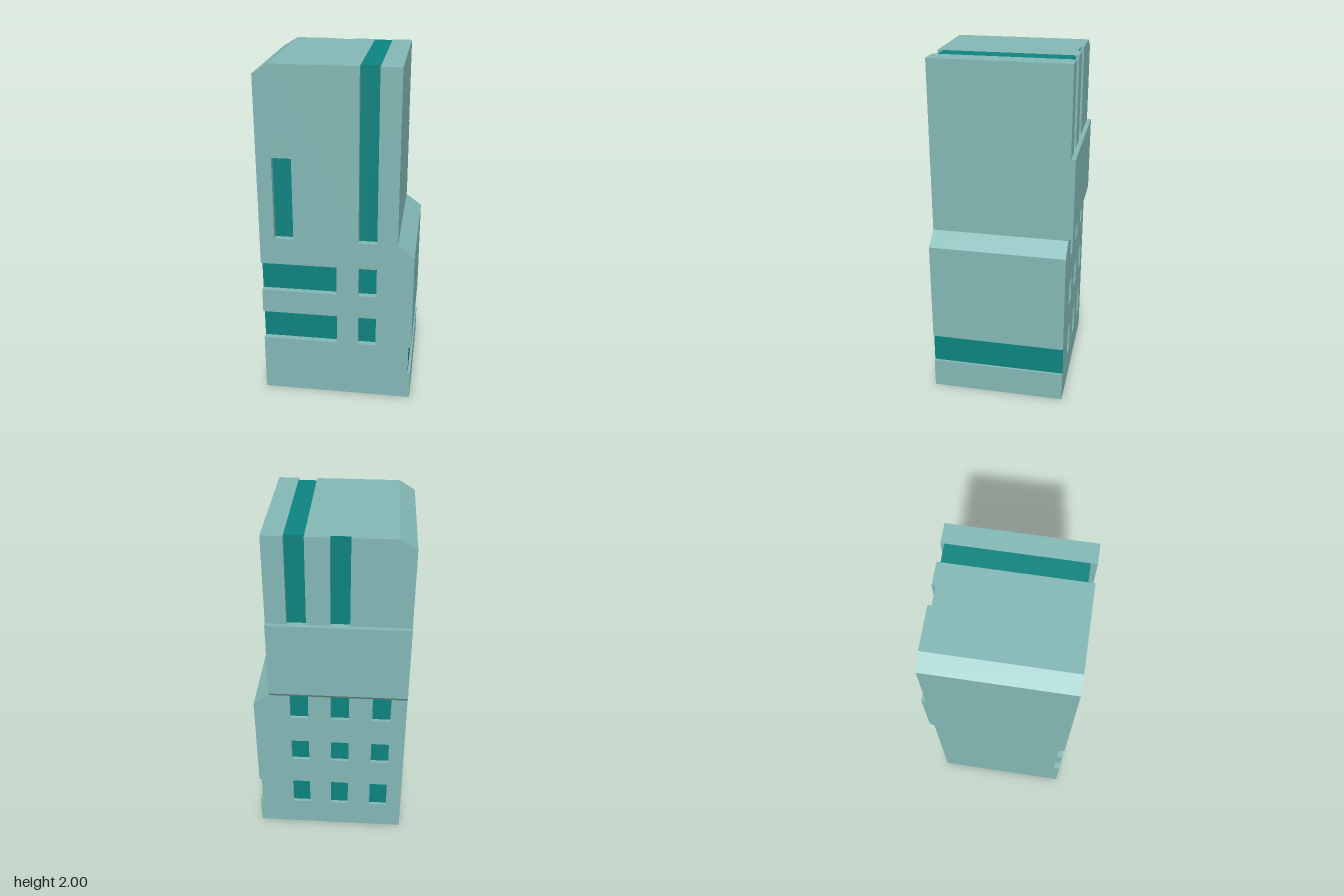
import * as THREE from 'three';
import { mergeGeometries } from 'three/addons/utils/BufferGeometryUtils.js';

const wall = new THREE.MeshStandardMaterial({ color: 0x82b7b4, side: THREE.DoubleSide });
wall.name = 'pale teal wall';
const glass = new THREE.MeshStandardMaterial({ color: 0x0d827e, side: THREE.DoubleSide });
glass.name = 'deep teal glass';

const FRONT = 0.405, BACK = -0.38, LEFT = -0.44, RIGHT = 0.44, TOWER = 0.345, TOP = 2;
const BAND = 0.425; // recessed face of the side band
const FRONT_DEPTH = 0.035, BACK_DEPTH = 0.02;

function mesh(geometry, material, name) {
  const m = new THREE.Mesh(geometry, material);
  m.name = name;
  return m;
}

// Flat four-cornered face
function quad(a, b, c, d) {
  const g = new THREE.BufferGeometry();
  g.setAttribute('position', new THREE.Float32BufferAttribute([...a, ...b, ...c, ...a, ...c, ...d], 3));
  g.computeVertexNormals();
  return g;
}

function shapeOf(points) {
  return new THREE.Shape(points.map(([x, y]) => new THREE.Vector2(x, y)));
}

// Sheet sweeping an (x, y) polyline through the depth of the building
function sweep(points) {
  const faces = [];
  for (let i = 0; i + 1 < points.length; i++) {
    const [ax, ay] = points[i], [bx, by] = points[i + 1];
    faces.push(quad([ax, ay, FRONT], [ax, ay, BACK], [bx, by, BACK], [bx, by, FRONT]));
  }
  return mergeGeometries(faces);
}

// Facade at z = 0 with panes sunk by depth; recesses open to an edge are already cut from the outline
function facade(name, outline, recesses, depth) {
  const group = new THREE.Group();
  group.name = name;
  const shape = shapeOf(outline);
  const reveals = [], panes = [];
  for (const { x0, x1, y0, y1, open } of recesses) {
    const corners = [[x0, y0], [x1, y0], [x1, y1], [x0, y1]];
    if (!open) shape.holes.push(new THREE.Path(corners.map(([x, y]) => new THREE.Vector2(x, y))));
    ['bottom', 'right', 'top', 'left'].forEach((side, i) => {
      if (side === open) return;
      const [ax, ay] = corners[i], [bx, by] = corners[(i + 1) % 4];
      reveals.push(quad([ax, ay, 0], [bx, by, 0], [bx, by, -depth], [ax, ay, -depth]));
    });
    panes.push(quad(...corners.map(([x, y]) => [x, y, -depth])));
  }
  group.add(
    mesh(new THREE.ShapeGeometry(shape), wall, name + 'Wall'),
    mesh(mergeGeometries(reveals), wall, name + 'Reveals'),
    mesh(mergeGeometries(panes), glass, name + 'Windows'));
  return group;
}

export function createModel() {
  const model = new THREE.Group();
  model.name = 'building';

  // Right-hand outline with the side band, shared by front and back
  const rightEdge = [[LEFT, 0], [RIGHT, 0], [RIGHT, 0.175], [BAND, 0.175], [BAND, 0.35],
    [RIGHT, 0.35], [RIGHT, 0.94], [TOWER, 1.01], [TOWER, TOP]];
  const roofCorner = [[-0.35, TOP], [LEFT, 1.945]];
  const groove = (x0, x1, y) => [[x1, TOP], [x1, y], [x0, y], [x0, TOP]];
  const rows = [[0.35, 0.53], [0.675, 0.85]];

  // Front: tall groove, slot window, corner windows and small windows
  const frontOutline = [...rightEdge, ...groove(0.125, 0.23, 1.01), ...roofCorner];
  for (const [y0, y1] of [...rows].reverse()) frontOutline.push([LEFT, y1], [0, y1], [0, y0], [LEFT, y0]);
  const frontRecesses = [
    { x0: 0.125, x1: 0.23, y0: 1.01, y1: TOP, open: 'top' },
    { x0: -0.355, x1: -0.245, y0: 1.01, y1: 1.49 }];
  for (const [y0, y1] of rows) {
    frontRecesses.push({ x0: LEFT, x1: 0, y0, y1, open: 'left' }, { x0: 0.125, x1: 0.23, y0, y1 });
  }
  const front = facade('front', frontOutline, frontRecesses, FRONT_DEPTH);
  front.position.z = FRONT;
  model.add(front);

  // Back: two grooves and a three by three grid of windows, mirrored then turned round
  const columns = [[0.125, 0.23], [-0.11, -0.005], [-0.35, -0.245]];
  const backOutline = [...rightEdge, ...groove(...columns[0], 1.49), ...groove(...columns[1], 1.49), ...roofCorner];
  const backRecesses = [];
  columns.forEach(([a, b], i) => {
    const x0 = -b, x1 = -a;
    if (i < 2) backRecesses.push({ x0, x1, y0: 1.49, y1: TOP, open: 'top' });
    for (const [y0, y1] of [[0.175, 0.35], [0.53, 0.675], [0.85, 1.01]]) backRecesses.push({ x0, x1, y0, y1 });
  });
  const back = facade('back', backOutline.map(([x, y]) => [-x, y]), backRecesses, BACK_DEPTH);
  back.rotation.y = Math.PI;
  back.position.z = BACK;
  model.add(back);

  // Projecting slab across the back, chamfered underneath
  const slab = new THREE.ExtrudeGeometry(
    shapeOf([[0.38, 1.01], [0.405, 1.04], [0.405, 1.49], [0.38, 1.49]]),
    { depth: TOWER - LEFT, bevelEnabled: false });
  slab.rotateY(Math.PI / 2);
  slab.scale(1, 1, 1).translate(LEFT, 0, 0);
  model.add(mesh(slab, wall, 'backSlab'));

  // Right side: lower wall, recessed band, step and tower wall
  model.add(
    mesh(sweep([[RIGHT, 0], [RIGHT, 0.175], [BAND, 0.175]]), wall, 'rightBase'),
    mesh(sweep([[BAND, 0.175], [BAND, 0.35]]), glass, 'rightBand'),
    mesh(sweep([[BAND, 0.35], [RIGHT, 0.35], [RIGHT, 0.94], [TOWER, 1.01], [TOWER, TOP]]), wall, 'rightWall'),
    mesh(sweep([[-0.35, TOP], [LEFT, 1.945]]), wall, 'roofChamfer'));

  // Left side, notched where the corner windows wrap round
  const inner = FRONT - FRONT_DEPTH;
  const sideOutline = [[BACK, 0], [FRONT, 0]];
  for (const [y0, y1] of rows) sideOutline.push([FRONT, y0], [inner, y0], [inner, y1], [FRONT, y1]);
  sideOutline.push([FRONT, 1.945], [BACK, 1.945]);
  const leftWall = mesh(new THREE.ShapeGeometry(shapeOf(sideOutline)), wall, 'leftWall');
  leftWall.rotation.y = -Math.PI / 2;
  leftWall.position.x = LEFT;
  model.add(leftWall);

  // Roof panels notched by the grooves, with a flush glass strip
  const backInner = BACK + BACK_DEPTH;
  const roofPanel = (x0, x1, z0, z1) => quad([x0, TOP, z1], [x1, TOP, z1], [x1, TOP, z0], [x0, TOP, z0]);
  model.add(
    mesh(mergeGeometries([
      roofPanel(-0.35, -0.11, BACK, FRONT),
      roofPanel(-0.11, -0.005, backInner, FRONT),
      roofPanel(-0.005, 0.125, BACK, FRONT),
      roofPanel(0.23, TOWER, BACK, FRONT)]), wall, 'roof'),
    mesh(roofPanel(0.125, 0.23, backInner, inner), glass, 'roofStrip'));

  return model;
}
